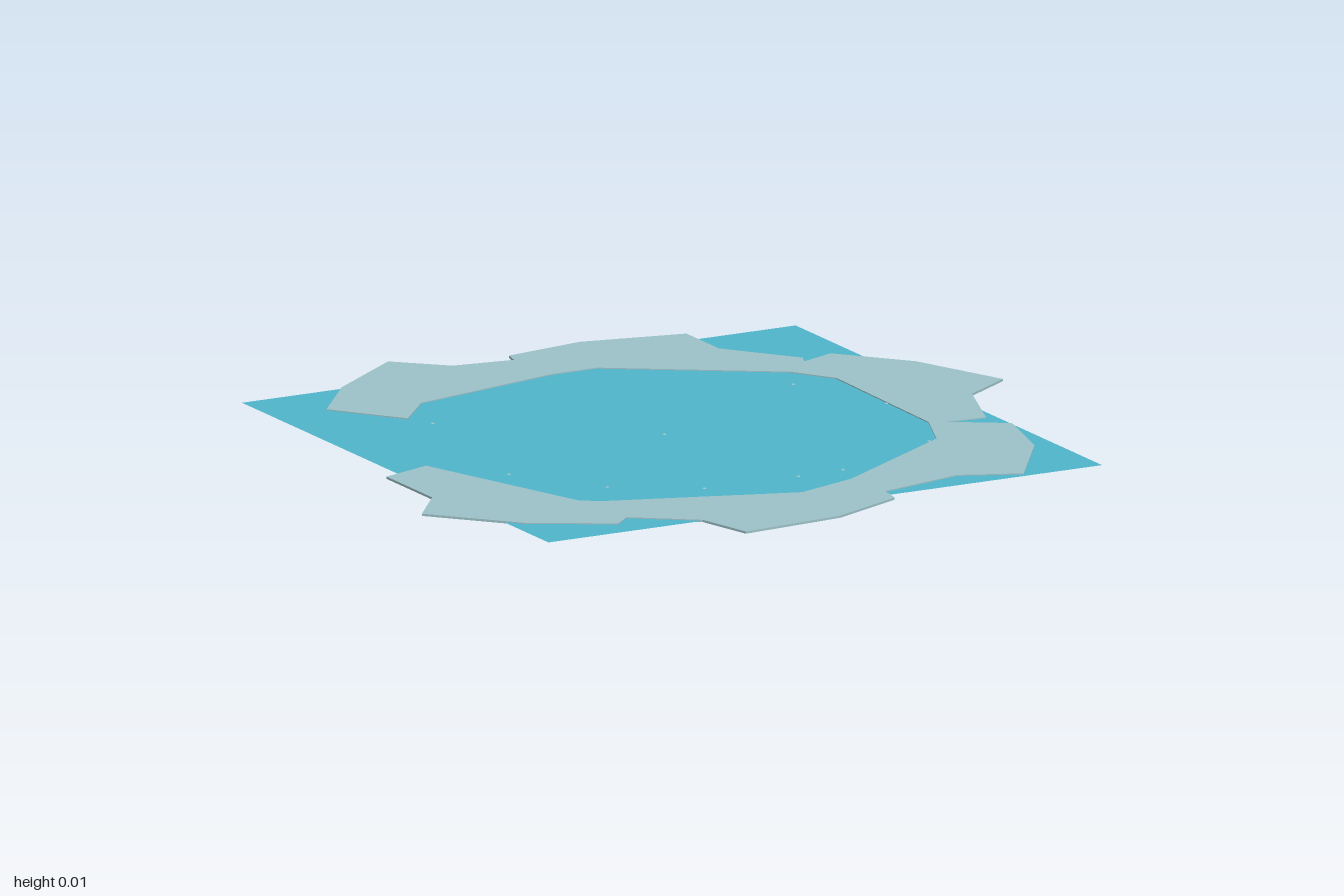
import * as THREE from 'three';

const THICK = 0.006;

// Rim stone outlines as [x, z] corners in plan; neighbours share their end edges
const STONES = {
  backLeftStone: [[-0.695, -0.645], [-0.55, -0.825], [-0.315, -1], [-0.19, -0.88], [-0.02, -0.855],
    [0, -0.68], [-0.445, -0.585], [-0.555, -0.46]],
  backRightStone: [[-0.02, -0.855], [-0.01, -0.9], [0.22, -0.935], [0.505, -0.875], [0.505, -0.7],
    [0.65, -0.51], [0.635, -0.475], [0.55, -0.4], [0.13, -0.68], [0, -0.68]],
  rightStone: [[0.635, -0.475], [0.735, -0.515], [0.89, -0.335], [1, -0.065], [0.855, 0.03],
    [0.77, 0.26], [0.655, 0.25], [0.615, 0.23], [0.625, -0.285], [0.55, -0.4]],
  frontRightStone: [[0.655, 0.25], [0.8, 0.345], [0.74, 0.575], [0.575, 0.815], [0.415, 0.745],
    [0.17, 0.8], [0.155, 0.645], [0.55, 0.39], [0.615, 0.23]],
  frontStone: [[0.17, 0.8], [0.16, 0.87], [-0.055, 0.965], [-0.35, 0.99], [-0.39, 0.83],
    [-0.55, 0.71], [-0.52, 0.535], [-0.025, 0.705], [0.155, 0.645]],
  leftStone: [[-0.55, 0.71], [-0.6, 0.755], [-0.81, 0.635], [-1, 0.42], [-0.895, 0.285],
    [-0.895, 0.04], [-0.75, -0.01], [-0.575, 0.5], [-0.52, 0.535]],
};

// Tiny specks breaking the water surface
const SPECKS = [[-0.52, -0.39], [0.5, -0.29], [-0.6, 0.165], [0.617, 0], [-0.045, 0], [-0.44, 0.405],
  [-0.225, 0.54], [0.05, 0.55], [0.185, 0.545], [0.525, 0.395]];

function material(name, color) {
  const m = new THREE.MeshStandardMaterial({ color });
  m.name = name;
  return m;
}

export function createModel() {
  const group = new THREE.Group();
  group.name = 'pond';
  const water = material('water blue', 0x50b5ca);
  const under = material('underside grey', 0xc8c6c6);
  const stone = material('pale stone', 0x9cc1c8);

  const add = (name, geometry, mat) => {
    const mesh = new THREE.Mesh(geometry, mat);
    mesh.name = name;
    group.add(mesh);
    return mesh;
  };

  // Square water sheet with a grey underside
  const sheet = (name, y, tilt, mat) =>
    add(name, new THREE.PlaneGeometry(1.65, 1.65).rotateX(tilt), mat).position.set(-0.025, y, 0.005);
  sheet('waterSurface', 0.0032, -Math.PI / 2, water);
  sheet('waterUnderside', 0.0028, Math.PI / 2, under);

  // Irregular flat stones forming an open ring through the sheet
  for (const [name, points] of Object.entries(STONES)) {
    const shape = new THREE.Shape(points.map(([x, z]) => new THREE.Vector2(x, -z)));
    add(name, new THREE.ExtrudeGeometry(shape, { depth: THICK, bevelEnabled: false }).rotateX(-Math.PI / 2), stone);
  }

  // Specks
  const speck = new THREE.CylinderGeometry(0.004, 0.006, 0.002, 5);
  SPECKS.forEach(([x, z]) => add('speck', speck, stone).position.set(x, 0.0042, z));

  return group;
}
